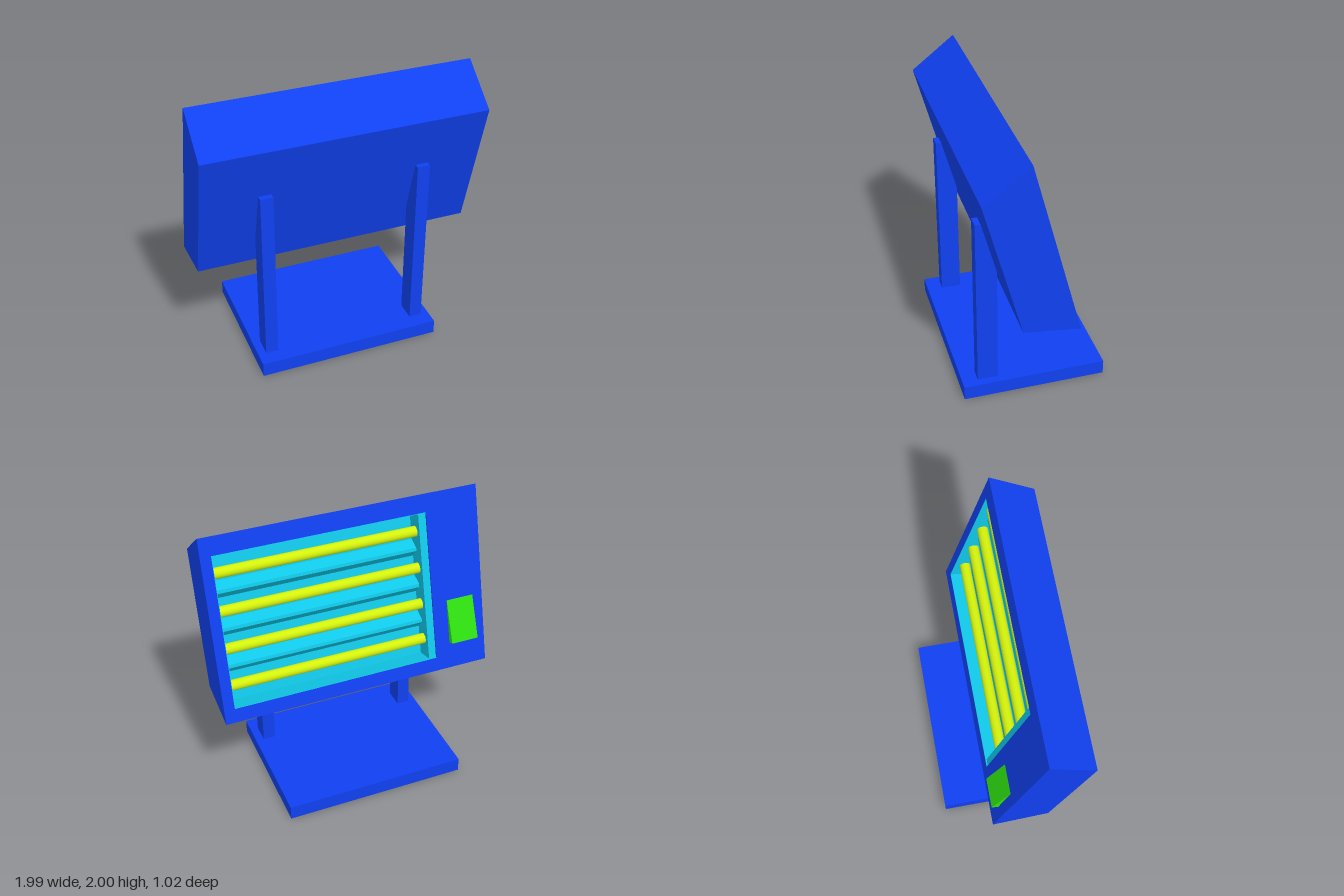
import * as THREE from 'three';

const mat = (color) => new THREE.MeshStandardMaterial({ color });
const BLUE = mat(0x1040f0), TEAL = mat(0x10c8e8), YELLOW = mat(0xd2f00c), GREEN = mat(0x2ee010);

function add(parent, name, geometry, material) {
  const mesh = new THREE.Mesh(geometry, material);
  mesh.name = name;
  parent.add(mesh);
  return mesh;
}

// Extrude a side profile of [z, y] points from x0 to x1
function sideExtrude(points, x0, x1) {
  const shape = new THREE.Shape(points.map(([z, y]) => new THREE.Vector2(-z, y)));
  const geo = new THREE.ExtrudeGeometry(shape, { depth: x1 - x0, bevelEnabled: false });
  return geo.rotateY(Math.PI / 2).translate(x0, 0, 0);
}

export function createModel() {
  const model = new THREE.Group();
  model.name = 'standingHeater';

  // Base: tray open at the bottom
  const tray = new THREE.BoxGeometry(1.32, 0.105, 1.02).translate(0, 0.0525, 0);
  const index = Array.from(tray.index.array);
  index.splice(18, 6);
  tray.setIndex(index);
  tray.clearGroups();
  const trayMat = mat(0x1040f0);
  trayMat.side = THREE.DoubleSide;
  add(model, 'base', tray, trayMat);

  // Posts, cut to the slope of the housing, with hollow feet under the tray top
  for (const side of [-1, 1]) {
    const x = side * 0.557;
    const name = side > 0 ? 'left' : 'right';
    const profile = [[0.4, 0.105], [0.4, 1.39], [0.36, 1.39], [0.255, 1.0], [0.255, 0.105]];
    add(model, name + 'Post', sideExtrude(profile, x - 0.045, x + 0.045), BLUE);

    const rect = (w, h) => [[-w, -h], [w, -h], [w, h], [-w, h]].map((p) => new THREE.Vector2(...p));
    const ring = new THREE.Shape(rect(0.045, 0.073));
    ring.holes.push(new THREE.Path(rect(0.028, 0.056)));
    const foot = new THREE.ExtrudeGeometry(ring, { depth: 0.03, bevelEnabled: false });
    foot.rotateX(-Math.PI / 2).translate(x, 0.073, 0.327);
    add(model, name + 'PostFoot', foot, BLUE);
  }

  // Tilted heater head: local -y runs down the open face, +z goes into the housing
  const head = new THREE.Group();
  head.name = 'heaterHead';
  head.position.set(0, 2, 0.14);
  head.rotation.x = 0.2616;
  model.add(head);

  const xMin = -0.995, xMax = 0.99, openMin = -0.605, openMax = 0.915;
  const top = -0.13, bottom = -1.215, depth = 0.15, wall = 0.004;

  // Housing: solid ends and a middle section with the recess
  const outline = [[0, 0], [0.362, -0.152], [0.364, -1.165], [0, -1.315]];
  const recess = [[0, bottom], [depth + 0.01, bottom], [depth + 0.01, top], [0, top]];
  add(head, 'housingRightEnd', sideExtrude(outline, xMin, openMin), BLUE);
  add(head, 'housingLeftEnd', sideExtrude(outline, openMax, xMax), BLUE);
  add(head, 'housingMiddle', sideExtrude([...outline, ...recess], openMin, openMax), BLUE);

  // Reflector lining with a ridge between each pair of tubes
  const pitch = 0.267, middle = (top + bottom) / 2;
  const lining = [[0.001, top], [0.001, top - wall], [depth, top - wall]];
  for (const k of [1, 0, -1]) {
    const y = middle + k * pitch;
    lining.push([depth, y + 0.06], [0.085, y + 0.012], [0.085, y - 0.012], [depth, y - 0.06]);
  }
  lining.push([depth, bottom + wall], [0.001, bottom + wall], [0.001, bottom],
    [depth + 0.01, bottom], [depth + 0.01, top]);
  add(head, 'reflector', sideExtrude(lining, openMin, openMax), TEAL);

  // End strip and end wall of the recess
  const h = top - bottom - 2 * wall;
  add(head, 'reflectorEndStrip',
    new THREE.BoxGeometry(0.055, h, depth - 0.01).translate(openMin + 0.0275, middle, depth / 2 + 0.005), TEAL);
  add(head, 'reflectorEndWall',
    new THREE.BoxGeometry(wall, h, depth).translate(openMax - wall / 2, middle, depth / 2 + 0.001), TEAL);

  // Heating tubes
  const x0 = openMin + 0.055, x1 = openMax - wall;
  for (let i = 0; i < 4; i++) {
    const tube = new THREE.CylinderGeometry(0.038, 0.038, x1 - x0, 24).rotateZ(Math.PI / 2);
    tube.translate((x0 + x1) / 2, middle + (1.5 - i) * pitch, 0.08);
    add(head, 'heatingTube' + (i + 1), tube, YELLOW);
  }

  // Wedge-shaped control box beside the recess
  const wedge = [[-0.067, 1.23], [-0.195, 0.935], [-0.14, 0.915]];
  add(model, 'controlBox', sideExtrude(wedge, -0.92, -0.715), GREEN);

  return model;
}
